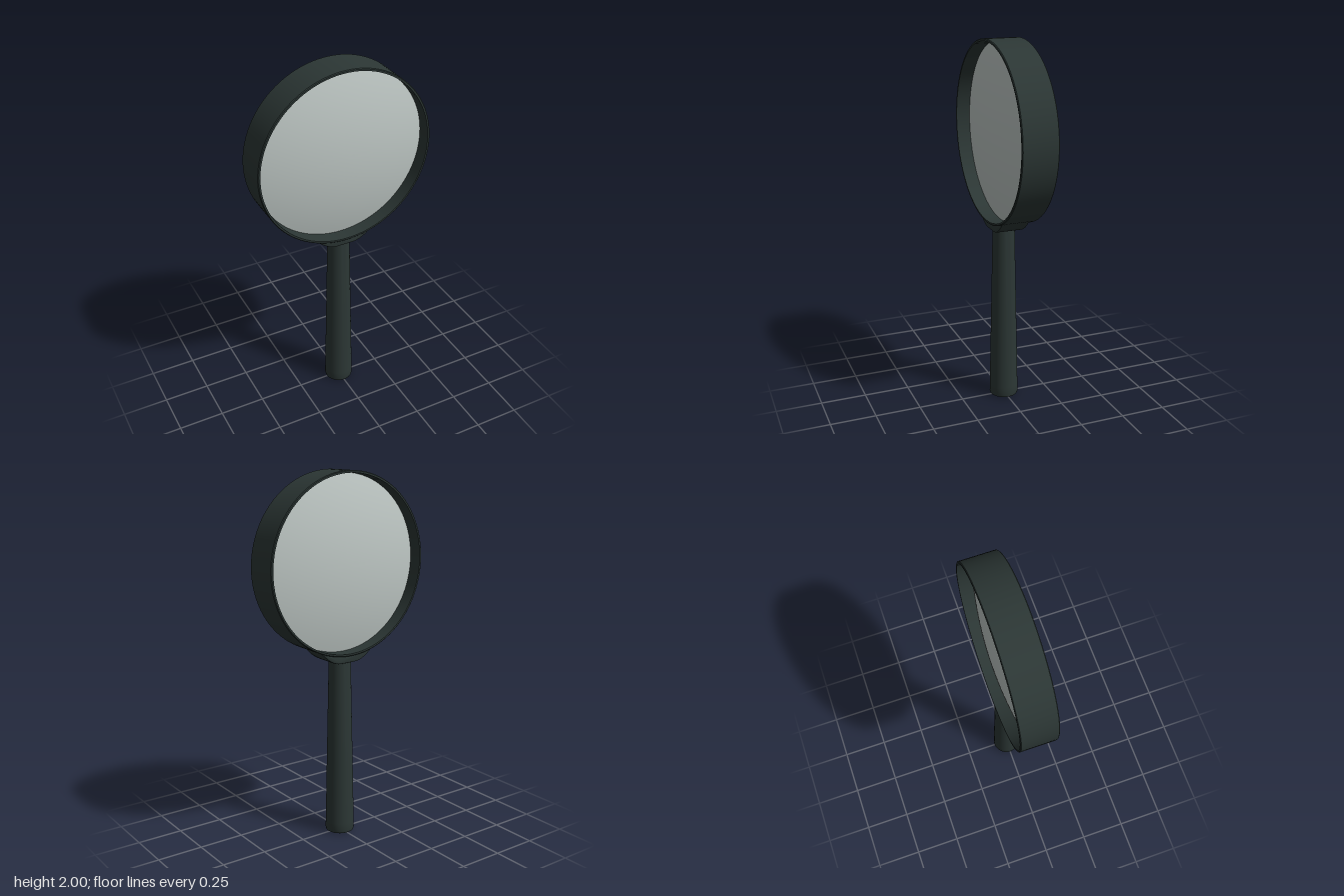
import * as THREE from 'three';
import { toCreasedNormals } from 'three/addons/utils/BufferGeometryUtils.js';

const CENTER_Y = 1.515;
const R_OUT = 0.485;
const R_IN = 0.472;

// Revolve a list of [radius, height] points
function lathe(points, segments) {
  const geo = new THREE.LatheGeometry(points.map(([r, y]) => new THREE.Vector2(r, y)), segments);
  return toCreasedNormals(geo, Math.PI / 6);
}

export function createModel() {
  const group = new THREE.Group();
  const frameMat = new THREE.MeshStandardMaterial({ color: 0x2c3735 });
  frameMat.name = 'dark frame';
  const glassMat = new THREE.MeshStandardMaterial({ color: 0xc0c9c6 });
  glassMat.name = 'pale glass';

  const add = (name, geo, mat) => {
    const mesh = new THREE.Mesh(geo, mat);
    mesh.name = name;
    group.add(mesh);
    return mesh;
  };

  // Deep ring around the lens, closed profile with tiny edge bevels
  const d = 0.098, b = 0.004;
  const ring = add('rim', lathe([
    [R_IN, -d], [R_OUT - b, -d], [R_OUT, -d + b], [R_OUT, d - b],
    [R_OUT - b, d], [R_IN, d], [R_IN, -d],
  ], 96), frameMat);
  ring.rotation.x = Math.PI / 2;
  ring.position.y = CENTER_Y;

  // Lens bulging on both sides
  const edge = 0.02, sag = 0.06, radius = 0.474;
  const sphere = (radius * radius + sag * sag) / (2 * sag);
  const lensPoints = [];
  const steps = 14;
  for (let i = 0; i <= steps; i++) {
    const r = radius * i / steps;
    lensPoints.push([r, edge + sag - sphere + Math.sqrt(sphere * sphere - r * r)]);
  }
  const profile = [
    ...lensPoints.map(([r, y]) => [r, -y]),
    ...lensPoints.slice().reverse(),
  ];
  const lens = add('lens', lathe(profile, 96), glassMat);
  lens.rotation.x = Math.PI / 2;
  lens.position.y = CENTER_Y;

  // Bracket cradling the rim, its top following the ring
  const halfW = 0.18;
  const angle = Math.asin(halfW / (R_OUT - 0.006));
  const topY = CENTER_Y - (R_OUT - 0.006) * Math.cos(angle);
  const shape = new THREE.Shape();
  shape.moveTo(-halfW, topY);
  shape.bezierCurveTo(-0.13, 1.015, -0.09, 0.988, -0.04, 0.988);
  shape.lineTo(0.04, 0.988);
  shape.bezierCurveTo(0.09, 0.988, 0.13, 1.015, halfW, topY);
  shape.absarc(0, CENTER_Y, R_OUT - 0.006, -Math.PI / 2 + angle, -Math.PI / 2 - angle, true);
  const bevel = 0.008;
  const bracketGeo = new THREE.ExtrudeGeometry(shape, {
    depth: 0.156 - 2 * bevel, curveSegments: 16,
    bevelEnabled: true, bevelThickness: bevel, bevelSize: bevel, bevelOffset: -bevel, bevelSegments: 2,
  });
  bracketGeo.translate(0, 0, -0.078 + bevel);
  add('bracket', toCreasedNormals(bracketGeo, Math.PI / 5), frameMat);

  // Tapered handle with a softened butt
  add('handle', lathe([
    [0, 0], [0.07, 0], [0.077, 0.004], [0.08, 0.014], [0.079, 0.06], [0.06, 0.995], [0, 0.995],
  ], 40), frameMat);

  return group;
}
